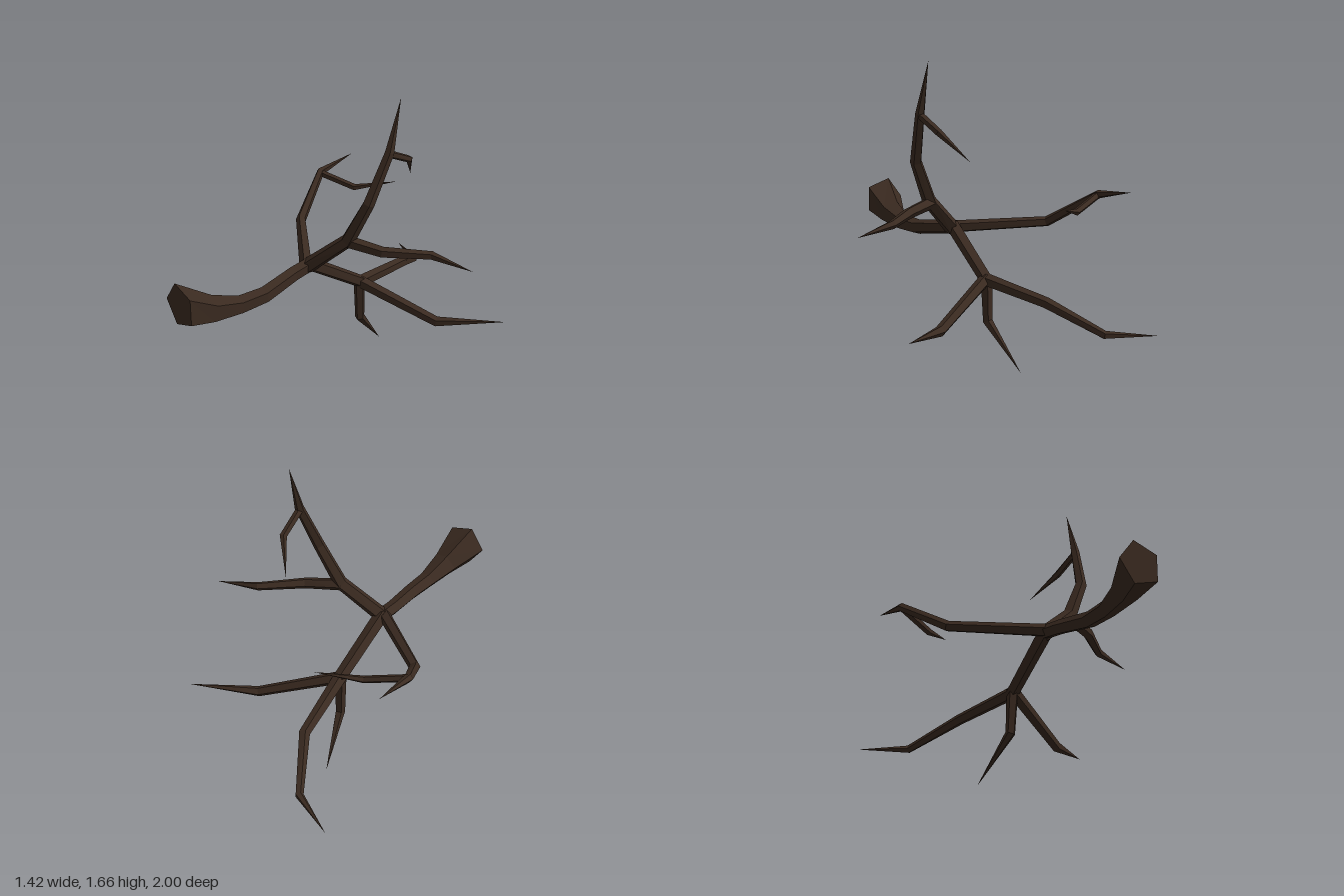
import * as THREE from 'three';

const SIDES = 5;
const bark = new THREE.MeshStandardMaterial({ color: 0x3a2a20, flatShading: true, side: THREE.DoubleSide });

// Faceted tapering limb through points [x, y, z, radius]; radius 0 closes to a tip.
function limb(name, pts, startDir) {
  const P = pts.map(p => new THREE.Vector3(p[0], p[1], p[2]));
  const last = P.length - 1;
  const span = P[last].clone().sub(P[0]).normalize();
  const ref = Math.abs(span.y) > 0.6 ? new THREE.Vector3(0, 0, 1) : new THREE.Vector3(0, 1, 0);
  const dir = i => P[i + 1].clone().sub(P[i]).normalize();

  const positions = [], index = [];
  P.forEach((p, i) => {
    // each ring lies on the mitre between its two segments
    const t = i === 0 ? (startDir || dir(0)) : i === last ? dir(i - 1) : dir(i - 1).add(dir(i)).normalize();
    const s = t.clone().cross(ref).normalize();
    const n = s.clone().cross(t);
    for (let j = 0; j < SIDES; j++) {
      const a = Math.PI + j / SIDES * Math.PI * 2;
      const v = p.clone().addScaledVector(s, Math.cos(a) * pts[i][3]).addScaledVector(n, Math.sin(a) * pts[i][3]);
      positions.push(v.x, v.y, v.z);
    }
  });
  for (let i = 0; i < last; i++) {
    for (let j = 0; j < SIDES; j++) {
      const k = (j + 1) % SIDES;
      const a = i * SIDES + j, c = i * SIDES + k, b = a + SIDES, d = c + SIDES;
      index.push(a, b, c);
      if (pts[i + 1][3] > 0) index.push(c, b, d);
    }
  }
  // cut end
  for (let j = 1; j < SIDES - 1; j++) index.push(0, j, j + 1);

  const indexed = new THREE.BufferGeometry();
  indexed.setAttribute('position', new THREE.Float32BufferAttribute(positions, 3));
  indexed.setIndex(index);
  const geometry = indexed.toNonIndexed();
  geometry.computeVertexNormals();
  const mesh = new THREE.Mesh(geometry, bark);
  mesh.name = name;
  return mesh;
}

export function createModel() {
  const group = new THREE.Group();
  group.name = 'bareBranch';
  group.add(
    // flared base running on into the long lower limb
    limb('mainLimb', [
      [-0.1, 0.73, 1, 0.122], [-0.075, 0.665, 0.83, 0.075], [-0.065, 0.637, 0.66, 0.05],
      [-0.065, 0.642, 0.5, 0.045], [-0.1, 0.68, 0.28, 0.041], [-0.11, 0.7, 0.15, 0.042],
      [-0.1, 0.48, -0.21, 0.038], [-0.2, 0.44, -0.63, 0.031], [-0.38, 0.31, -0.89, 0.023],
      [-0.64, 0.295, -1, 0]], new THREE.Vector3(0, 0, -1)),
    // shoots of the lower limb
    limb('lowerSideBranch', [
      [-0.1, 0.485, -0.2, 0.036], [0.31, 0.315, -0.42, 0.03], [0.62, 0.36, -0.65, 0]]),
    limb('hangingBranch', [
      [-0.1, 0.5, -0.2, 0.034], [-0.105, 0.25, -0.21, 0.028], [-0.18, 0.005, -0.43, 0]]),
    // right limb and its twig
    limb('rightLimb', [
      [-0.12, 0.7, 0.17, 0.036], [-0.54, 0.74, -0.13, 0.03], [-0.69, 0.925, -0.4, 0.024],
      [-0.705, 0.975, -0.66, 0]]),
    limb('rightTwig', [
      [-0.69, 0.92, -0.395, 0.021], [-0.48, 0.865, -0.49, 0.02], [-0.29, 0.92, -0.65, 0]]),
    // rising limb with its side branch and top twig
    limb('upperLimb', [
      [-0.11, 0.69, 0.17, 0.045], [0.1, 0.885, 0.06, 0.04], [0.21, 1.12, 0.01, 0.033],
      [0.245, 1.39, -0.1, 0.026], [0.24, 1.67, -0.18, 0]]),
    limb('upperSideBranch', [
      [0.09, 0.88, 0.06, 0.036], [0.28, 0.855, -0.03, 0.031], [0.47, 0.85, -0.21, 0.024],
      [0.705, 0.82, -0.28, 0]]),
    limb('topTwig', [
      [0.245, 1.385, -0.095, 0.021], [0.225, 1.31, -0.26, 0.02], [0.11, 1.165, -0.38, 0]])
  );
  return group;
}
